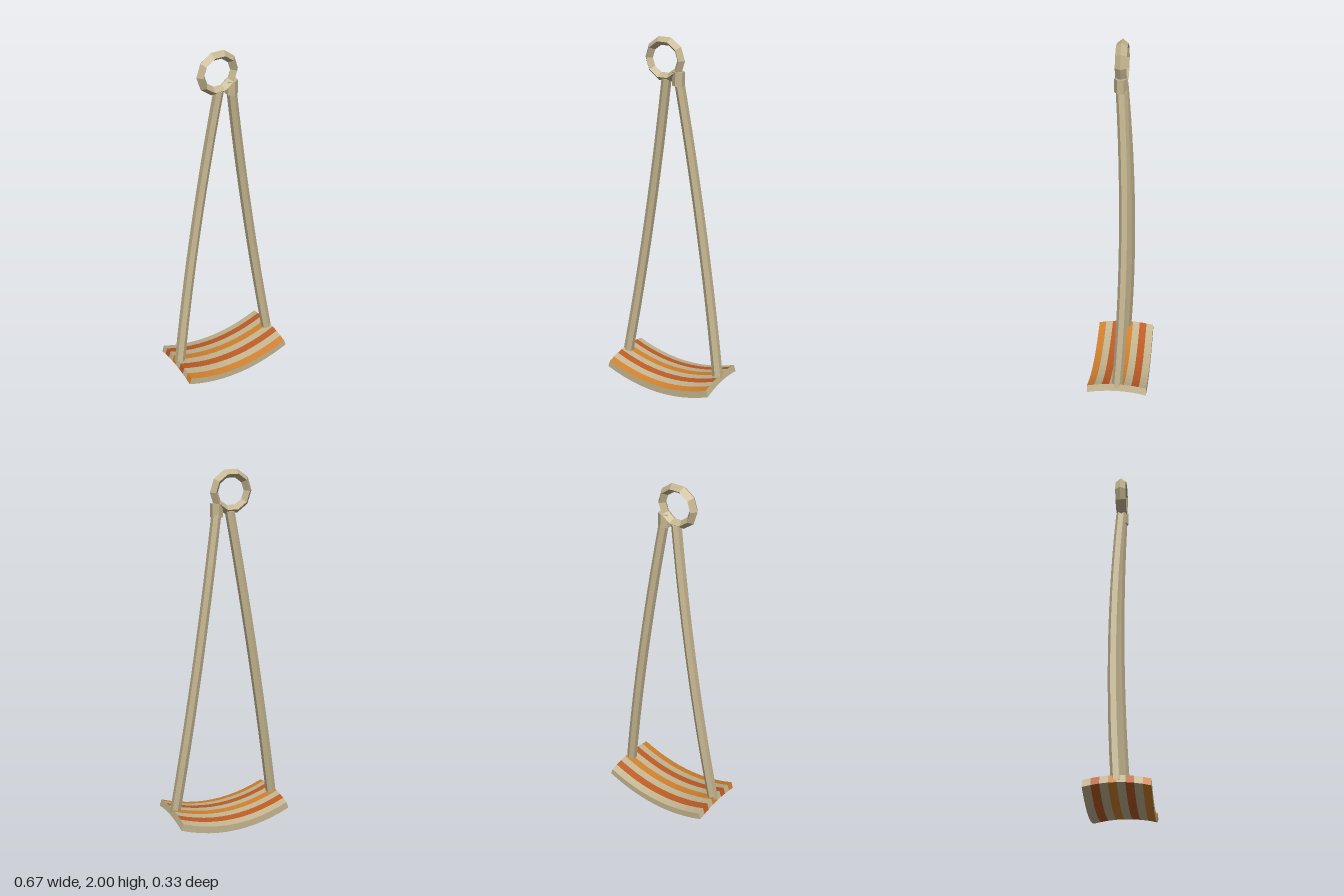
import * as THREE from 'three';

const tan = new THREE.MeshStandardMaterial({ color: 0xc4b590 });
tan.name = 'tan';
const rust = new THREE.MeshStandardMaterial({ color: 0xbd5c25 });
rust.name = 'rust';
const orange = new THREE.MeshStandardMaterial({ color: 0xd0802e });
orange.name = 'orange';

// Faceted mesh with one normal per face
function faceted(name, geometry, material) {
  const g = geometry.index ? geometry.toNonIndexed() : geometry;
  g.computeVertexNormals();
  const mesh = new THREE.Mesh(g, material);
  mesh.name = name;
  return mesh;
}

// Curved plank: sags along x, arches across z, striped along its length
function makeSeat() {
  const HALF_X = 0.333, HALF_Z = 0.167, SAG = 0.07, ARCH = 0.02, THICK = 0.041;
  const COLS = 12, ROWS = 8;
  const stripes = [tan, rust, tan, orange, tan, rust, tan, orange];
  const faces = new Map([[tan, []], [rust, []], [orange, []]]);

  const point = (i, j, top) => {
    const u = (i / COLS) * 2 - 1, v = (j / ROWS) * 2 - 1;
    const tilt = Math.atan(2 * SAG * u / HALF_X);
    const h = top ? THICK : 0;
    return [
      u * HALF_X - h * Math.sin(tilt) * 0.75,
      SAG * u * u + ARCH * (1 - v * v) + h * Math.cos(tilt),
      v * HALF_Z,
    ];
  };
  const quad = (mat, a, b, c, d) => faces.get(mat).push(...a, ...b, ...c, ...a, ...c, ...d);

  for (let j = 0; j < ROWS; j++) {
    const m = stripes[j];
    for (let i = 0; i < COLS; i++) {
      quad(m, point(i, j, 1), point(i, j + 1, 1), point(i + 1, j + 1, 1), point(i + 1, j, 1));
      quad(m, point(i, j, 0), point(i + 1, j, 0), point(i + 1, j + 1, 0), point(i, j + 1, 0));
    }
    // Striped right end and plain left end
    quad(m, point(0, j, 0), point(0, j + 1, 0), point(0, j + 1, 1), point(0, j, 1));
    quad(tan, point(COLS, j + 1, 0), point(COLS, j, 0), point(COLS, j, 1), point(COLS, j + 1, 1));
  }
  // Plain front and back edges
  for (let i = 0; i < COLS; i++) {
    quad(tan, point(i, ROWS, 0), point(i + 1, ROWS, 0), point(i + 1, ROWS, 1), point(i, ROWS, 1));
    quad(tan, point(i + 1, 0, 0), point(i, 0, 0), point(i, 0, 1), point(i + 1, 0, 1));
  }

  const seat = new THREE.Group();
  seat.name = 'seat';
  for (const [mat, pos] of faces) {
    const g = new THREE.BufferGeometry();
    g.setAttribute('position', new THREE.Float32BufferAttribute(pos, 3));
    seat.add(faceted('seat ' + mat.name, g, mat));
  }
  return seat;
}

// Six-sided strap leaning inwards and bowed to the back
function makeStrap(name, bottomX, topX, bottomY, topY) {
  const g = new THREE.CylinderGeometry(0.03, 0.03, 1, 6, 12);
  const p = g.attributes.position;
  for (let i = 0; i < p.count; i++) {
    const t = p.getY(i) + 0.5;
    p.setXYZ(
      i,
      p.getX(i) * (1 - 0.15 * t) + THREE.MathUtils.lerp(bottomX, topX, t),
      THREE.MathUtils.lerp(bottomY, topY, t),
      p.getZ(i) - 0.002 - 0.116 * t * (1 - t),
    );
  }
  return faceted(name, g, tan);
}

export function createModel() {
  const model = new THREE.Group();
  model.name = 'swing';
  model.add(makeSeat());
  model.add(makeStrap('leftStrap', 0.303, 0.042, 0.105, 1.79));
  model.add(makeStrap('rightStrap', -0.303, -0.032, 0.105, 1.785));

  // Hanging ring with a diamond section
  const ringShape = new THREE.TorusGeometry(0.097, 0.023, 4, 10);
  ringShape.scale(1, 1, 1.3);
  const ring = faceted('hangingRing', ringShape, tan);
  ring.position.set(-0.04, 1.886, 0);
  model.add(ring);

  // Collar joining the left strap to the ring
  const collar = faceted('collar', new THREE.CylinderGeometry(0.034, 0.034, 0.073, 6), tan);
  collar.position.set(0.042, 1.792, 0);
  model.add(collar);
  return model;
}
